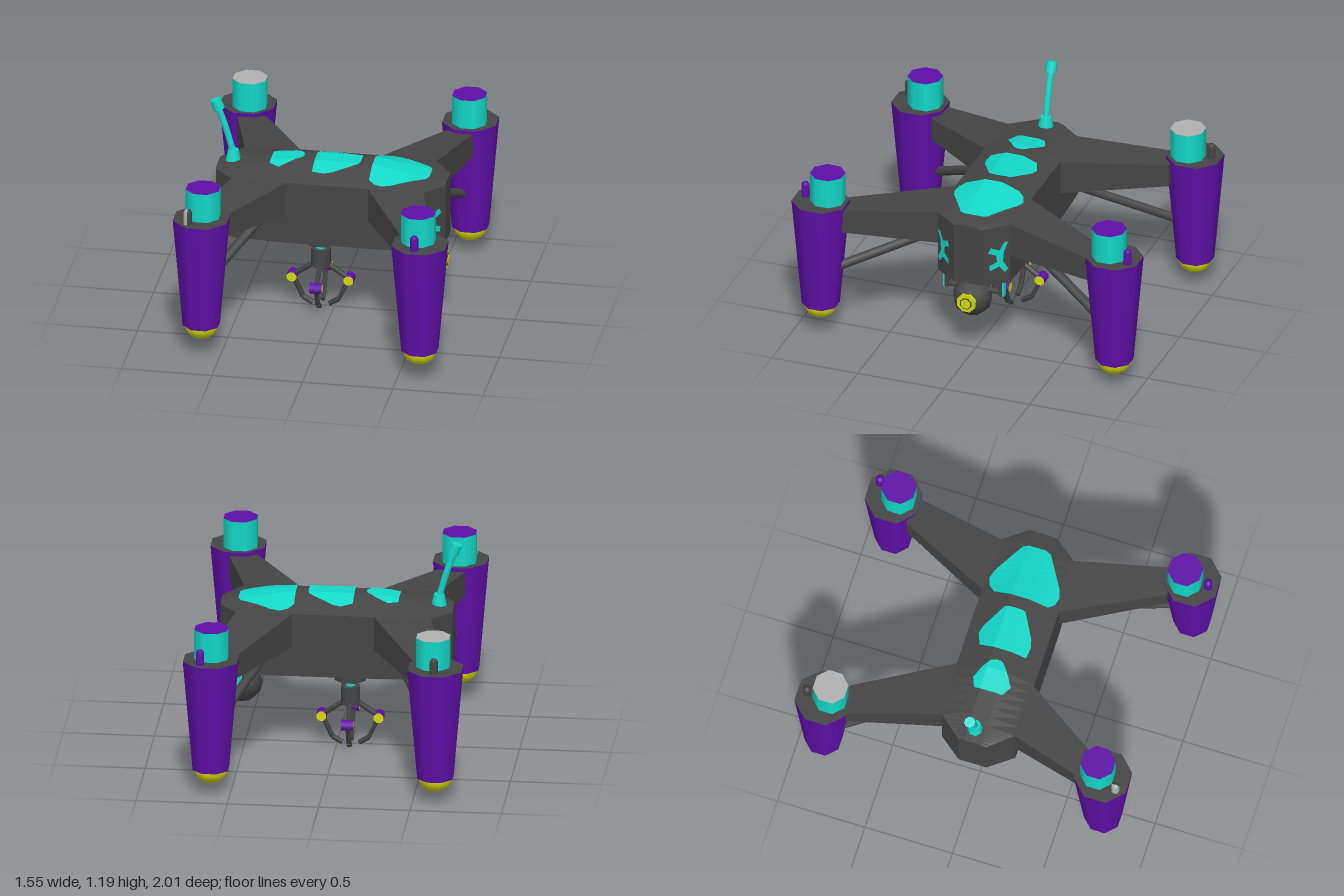
import * as THREE from 'three';

const paint = (name, color) => {
  const m = new THREE.MeshStandardMaterial({ color });
  m.name = name;
  return m;
};
const V = (x, y, z) => new THREE.Vector3(x, y, z);
const lerp = THREE.MathUtils.lerp;

// Faceted skin through rows of points; closed rows also get end caps
function skin(rows, closed) {
  const pos = [];
  const tri = (...p) => p.forEach((v) => pos.push(v.x, v.y, v.z));
  const n = rows[0].length;
  for (let i = 0; i < rows.length - 1; i++) {
    for (let j = 0; j < (closed ? n : n - 1); j++) {
      const k = (j + 1) % n;
      tri(rows[i][j], rows[i][k], rows[i + 1][k]);
      tri(rows[i][j], rows[i + 1][k], rows[i + 1][j]);
    }
  }
  if (closed) {
    const a = rows[0], b = rows[rows.length - 1];
    for (let j = 1; j < n - 1; j++) {
      tri(a[0], a[j + 1], a[j]);
      tri(b[0], b[j], b[j + 1]);
    }
  }
  const g = new THREE.BufferGeometry();
  g.setAttribute('position', new THREE.Float32BufferAttribute(pos, 3));
  g.computeVertexNormals();
  return g;
}

// Hull stations along x: [x, half width, ridge y, eave y, bottom y]
const RIDGE = 0.05;
const HULL = [
  [-0.64, 0.08, 0.82, 0.81, 0.49], [-0.53, 0.21, 0.835, 0.815, 0.465],
  [-0.22, 0.22, 0.885, 0.82, 0.46], [0.22, 0.22, 0.885, 0.82, 0.46],
  [0.53, 0.21, 0.835, 0.815, 0.46], [0.63, 0.08, 0.82, 0.81, 0.465],
];
function hullAt(x) {
  let i = 0;
  while (i < HULL.length - 2 && x > HULL[i + 1][0]) i++;
  const t = (x - HULL[i][0]) / (HULL[i + 1][0] - HULL[i][0]);
  return HULL[i].map((v, k) => lerp(v, HULL[i + 1][k], t));
}
function roofY(x, z) {
  const [, w, ridge, eave] = hullAt(x);
  return lerp(ridge, eave, Math.max(0, (Math.abs(z) - RIDGE) / (w - RIDGE)));
}
// Subdivide a list of stations
function refine(list, n) {
  const out = [list[0]];
  for (let i = 0; i < list.length - 1; i++)
    for (let s = 1; s <= n; s++) out.push(list[i].map((v, k) => lerp(v, list[i + 1][k], s / n)));
  return out;
}

export function createModel() {
  const root = new THREE.Group();
  const dark = paint('charcoal', 0x454545), purple = paint('purple', 0x5f0fa8);
  const teal = paint('teal', 0x12d8c8), yellow = paint('yellow', 0xd4da0c);
  const grey = paint('light grey', 0xb0b0b0);

  const add = (name, geo, mat, x = 0, y = 0, z = 0, parent = root) => {
    const m = new THREE.Mesh(geo, mat);
    m.name = name;
    m.position.set(x, y, z);
    parent.add(m);
    return m;
  };
  const cyl = (rt, rb, h, n = 8) => new THREE.CylinderGeometry(rt, rb, h, n, 1, false, Math.PI / n);
  // Rod between two points
  const rod = (name, a, b, r, mat, parent = root, n = 8) => {
    const d = b.clone().sub(a);
    const m = add(name, cyl(r, r, d.length(), n), mat, 0, 0, 0, parent);
    m.position.copy(a).add(b).multiplyScalar(0.5);
    m.quaternion.setFromUnitVectors(V(0, 1, 0), d.normalize());
    return m;
  };

  // Fuselage
  const rows = refine(HULL, 6).map(([x, w, ridge, eave, bot]) => [
    V(x, bot, -w), V(x, eave, -w), V(x, ridge, -RIDGE),
    V(x, ridge, RIDGE), V(x, eave, w), V(x, bot, w),
  ]);
  add('fuselage', skin(rows, true), dark);

  // Roof panels: [x, z low, z high]
  const panels = {
    frontRoofPanel: [[0.22, -0.15, 0.16], [0.25, -0.185, 0.19], [0.295, -0.2, 0.2], [0.345, -0.185, 0.185], [0.52, -0.08, 0.08], [0.535, -0.05, 0.05]],
    middleRoofPanel: [[-0.1, -0.13, 0.135], [-0.035, -0.157, 0.142], [0.01, -0.145, 0.13], [0.145, -0.065, 0.055], [0.152, -0.04, 0.03]],
    rearRoofPanel: [[-0.345, -0.085, 0.075], [-0.29, -0.107, 0.108], [-0.22, -0.075, 0.065], [-0.175, -0.04, 0.03], [-0.165, -0.015, 0.01]],
  };
  for (const [name, st] of Object.entries(panels)) {
    const strip = refine(st, 5).map(([x, lo, hi]) =>
      [lo, Math.max(lo, -RIDGE), Math.min(hi, RIDGE), hi].map((z) => V(x, roofY(x, z) + 0.006, z)));
    add(name, skin(strip, false), teal);
  }

  // Painted blotches on the nose chamfers
  const blotch = [[-0.07, 0.09], [-0.045, 0.085], [-0.02, 0.04], [0.03, 0.06], [0.045, 0.03], [0, 0.01], [-0.005, -0.03],
    [0.04, -0.05], [0.035, -0.08], [-0.02, -0.06], [-0.05, -0.1], [-0.07, -0.08], [-0.04, -0.03], [-0.045, 0.03]];
  for (const s of [1, -1]) {
    const shape = new THREE.Shape(blotch.map(([x, y]) => new THREE.Vector2(x * s, y)));
    const m = add('noseBlotch', new THREE.ShapeGeometry(shape), teal, 0.584, 0.63, s * 0.149);
    m.rotation.y = Math.atan2(0.13, 0.1 * s);
  }

  // Arms, struts and rotor towers
  const towers = [
    { x: 0.625, z: 0.855, cap: [0.61, 0.82], pin: [0.61, 0.95], drop: 0, lid: purple, pinMat: [purple, purple] },
    { x: -0.605, z: 0.735, cap: [-0.6, 0.705], pin: [-0.665, 0.825], drop: 0, lid: purple, pinMat: [dark, grey] },
    { x: -0.625, z: -0.855, cap: [-0.61, -0.82], pin: [-0.625, -0.95], drop: 0.035, lid: grey, pinMat: [dark, dark] },
    { x: 0.605, z: -0.845, cap: [0.605, -0.815], pin: [0.655, -0.94], drop: 0.035, lid: purple, pinMat: [purple, purple] },
  ];
  for (const t of towers) {
    const sx = Math.sign(t.x), sz = Math.sign(t.z), d = t.drop;
    const ring = (xa, xb, ya, yb, z) => {
      const lo = Math.min(xa, xb), hi = Math.max(xa, xb);
      return [V(lo, ya, z), V(hi, ya, z), V(hi, yb, z), V(lo, yb, z)];
    };
    const arm = [
      ring(sx * 0.215, sx * 0.53, 0.625, 0.82, sz * 0.2),
      ring(t.x - sx * 0.12, t.x + sx * 0.045, 0.66 - d, 0.79 - d, t.z - sz * 0.11),
    ];
    if (sz < 0) arm.reverse();
    add('arm', skin(arm, true), dark);
    rod('strut', V(sx * 0.32, 0.65, sz * 0.18), V(t.x - sx * 0.02, 0.41 - d, t.z - sz * 0.09), 0.026, dark);

    const g = new THREE.Group();
    g.name = 'tower';
    g.position.set(t.x, -d, t.z);
    root.add(g);
    add('towerShell', cyl(0.16, 0.104, 0.635), [purple, dark, purple], 0, 0.4975, 0, g);
    const foot = add('footDome', new THREE.SphereGeometry(0.095, 10, 5, 0, Math.PI * 2, Math.PI / 2, Math.PI / 2), yellow, 0, 0.183, 0, g);
    foot.scale.y = 0.88;
    add('towerCap', cyl(0.098, 0.098, 0.17), [teal, t.lid, teal], t.cap[0] - t.x, 0.898, t.cap[1] - t.z, g);
    // Pin made of an outer and an inner half
    t.pinMat.forEach((mat, i) => {
      const prof = [[0.023, 0], [0.023, 0.075], [0.016, 0.088], [0, 0.093]].map((p) => new THREE.Vector2(...p));
      add('pinHalf', new THREE.LatheGeometry(prof, 5, i * Math.PI, Math.PI), mat, t.pin[0] - t.x, 0.81, t.pin[1] - t.z, g);
    });
  }

  // Tail antenna
  add('antennaBase', cyl(0.03, 0.045, 0.07), teal, -0.56, 0.855, -0.01);
  const whip = new THREE.CatmullRomCurve3([V(-0.56, 0.87, -0.01), V(-0.59, 0.98, -0.01), V(-0.615, 1.06, -0.01), V(-0.645, 1.14, -0.01)]);
  add('antennaWhip', new THREE.TubeGeometry(whip, 8, 0.018, 8), teal);
  rod('antennaTip', V(-0.636, 1.125, -0.01), V(-0.658, 1.182, -0.01), 0.031, teal);

  // Nose camera
  add('cameraBall', new THREE.SphereGeometry(0.113, 8, 6), dark, 0.52, 0.335, 0.01);
  rod('lensRing', V(0.6, 0.335, 0.01), V(0.63, 0.335, 0.01), 0.055, yellow);
  rod('lensRecess', V(0.6, 0.335, 0.01), V(0.633, 0.335, 0.01), 0.035, dark);
  rod('lens', V(0.6, 0.335, 0.01), V(0.636, 0.335, 0.01), 0.029, yellow);
  rod('cameraAxle', V(0.52, 0.385, -0.17), V(0.52, 0.385, 0.17), 0.016, dark);
  for (const s of [1, -1]) {
    add('cameraBracket', new THREE.BoxGeometry(0.05, 0.1, 0.02), dark, 0.52, 0.42, s * 0.155);
    add('bracketTab', new THREE.BoxGeometry(0.035, 0.1, 0.012), teal, 0.52, 0.415, s * 0.171);
  }

  // Gripper
  const grip = new THREE.Group();
  grip.name = 'gripper';
  grip.position.set(-0.075, 0, -0.01);
  root.add(grip);
  add('mountPlate', cyl(0.125, 0.125, 0.045), dark, 0, 0.445, 0, grip);
  add('mountStep', cyl(0.092, 0.092, 0.045), dark, 0, 0.402, 0, grip);
  add('wristNeck', cyl(0.028, 0.028, 0.06), teal, 0, 0.355, 0, grip);
  add('wrist', cyl(0.055, 0.055, 0.105), dark, 0, 0.287, 0, grip);
  for (let i = 0; i < 4; i++) {
    const claw = new THREE.Group();
    claw.name = 'claw';
    claw.rotation.y = i * Math.PI / 2;
    grip.add(claw);
    const path = [V(0.03, 0.25, 0), V(0.157, 0.165, 0), V(0.1, 0.04, 0), V(0.045, 0.008, 0)];
    for (let k = 0; k < 3; k++) rod('fingerLink', path[k], path[k + 1], 0.016, dark, claw, 4);
    rod('joint', V(0.157, 0.165, -0.034), V(0.157, 0.165, 0.034), 0.029, [purple, yellow, yellow], claw);
  }
  return root;
}
